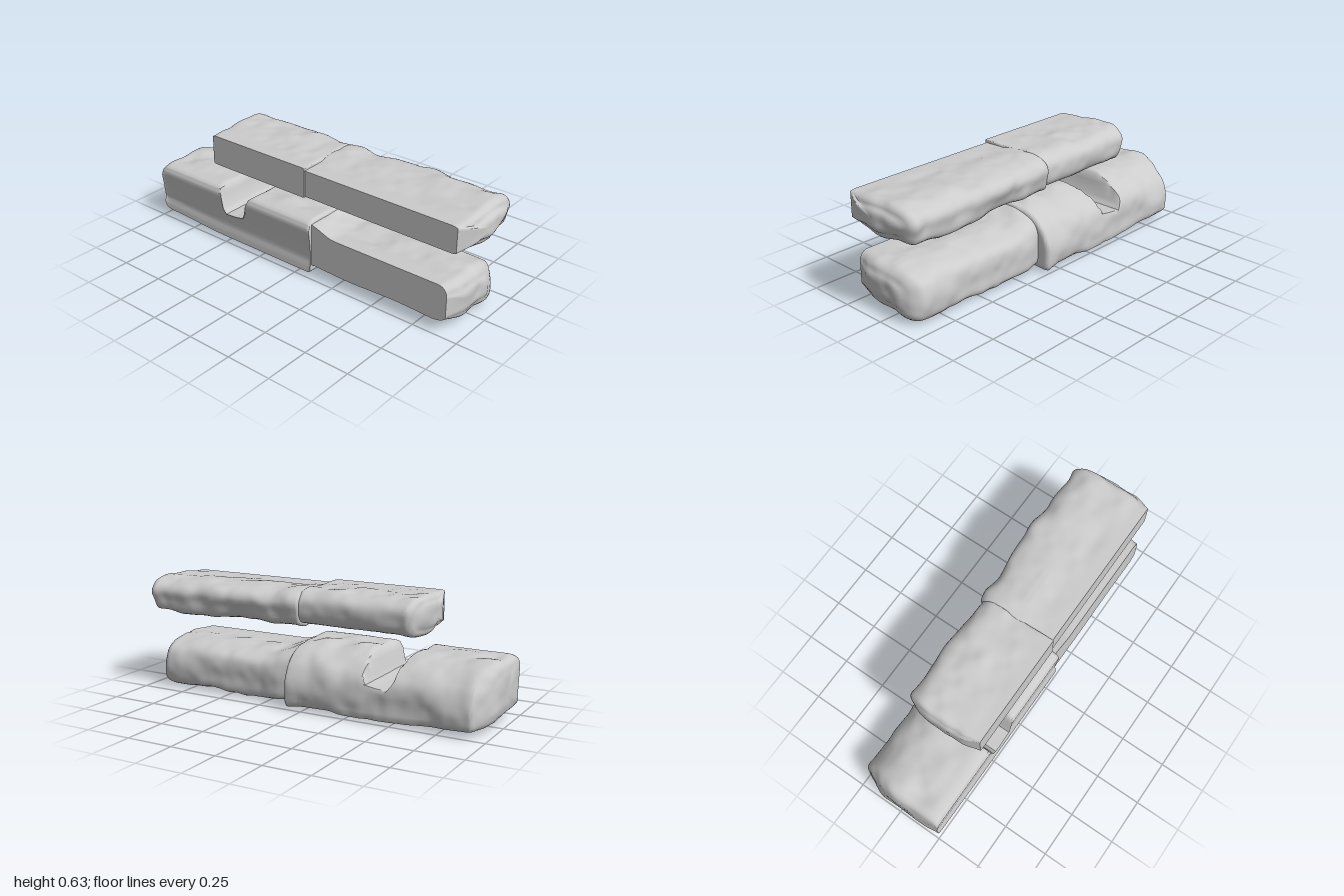
import * as THREE from 'three';
import { toCreasedNormals } from 'three/addons/utils/BufferGeometryUtils.js';

const material = new THREE.MeshStandardMaterial({ color: 0xcccccc });
const { lerp, smoothstep: smooth } = THREE.MathUtils;

// Repeatable value noise, -1..1
function hash(x, y, z) {
  const h = Math.sin(x * 127.1 + y * 311.7 + z * 74.7) * 43758.5453;
  return 2 * (h - Math.floor(h)) - 1;
}
function noise(x, y, z) {
  const [i, j, k] = [x, y, z].map(Math.floor);
  const [u, v, w] = [x - i, y - j, z - k].map((t) => t * t * (3 - 2 * t));
  const edge = (b, c) => lerp(hash(i, j + b, k + c), hash(i + 1, j + b, k + c), u);
  return lerp(lerp(edge(0, 0), edge(1, 0), v), lerp(edge(0, 1), edge(1, 1), v), w);
}

// Lumps of weathered stone
function lumps(x, y, z, seed) {
  return 0.8 * noise(9 * x + seed, 9 * y + 40, 9 * z + 40)
    + 0.3 * noise(19 * x + seed, 19 * y + 80, 19 * z + 80);
}

// Sections [z, y] run from the front bottom edge round the back to the front top edge;
// "face" continues down the dressed front. Rings are lofted along x and closed at both ends.
function stone(name, o) {
  const curve = new THREE.CatmullRomCurve3(
    o.section.map(([z, y]) => new THREE.Vector3(0, y, z)), false, 'centripetal');
  const loop = curve.getSpacedPoints(60).map((p) => [p.z, p.y]);
  const face = [o.section.at(-1), ...(o.face || []), o.section[0]];
  const cuts = o.face ? 4 : 12;
  for (let k = 0; k < face.length - 1; k++) {
    for (let s = 1; s <= cuts; s++) {
      if (k === face.length - 2 && s === cuts) break;
      loop.push([0, 1].map((c) => lerp(face[k][c], face[k + 1][c], s / cuts)));
    }
  }
  const n = loop.length;
  const ys = loop.map((p) => p[1]), zs = loop.map((p) => p[0]);
  const cy = (Math.min(...ys) + Math.max(...ys)) / 2, H = Math.max(...ys) - Math.min(...ys);
  const front = Math.max(...zs), W = front - Math.min(...zs), cz = front - W / 2;

  // Ring list: cap, rounded shoulder, body, rounded shoulder, cap
  const endRings = (end, r, bulge, dir) => {
    const list = [];
    for (let a = 0; a <= 6; a++) {
      const t = a / 6 * Math.PI / 2;
      list.push({ x: end + dir * r * (Math.sin(t) - 1), inset: r * (1 - Math.cos(t)), k: 1 });
    }
    for (const k of [0.88, 0.75, 0.6, 0.45, 0.3, 0.15, 0])
      list.push({ x: end + dir * bulge * (1 - k ** 4), inset: r, k });
    return list;
  };
  const left = endRings(o.x[0], o.round[0], o.bulge[0], -1).reverse();
  const right = endRings(o.x[1], o.round[1], o.bulge[1], 1);
  const x0 = o.x[0] + o.round[0], x1 = o.x[1] - o.round[1];
  const steps = Math.round((x1 - x0) / 0.012);
  const body = [];
  for (let i = 1; i < steps; i++) body.push({ x: lerp(x0, x1, i / steps), inset: 0, k: 1 });
  const rings = [...left, ...body, ...right];

  const pos = [], index = [];
  for (const ring of rings) {
    // How near the ring is to the left (-) or right (+) end
    const toEnd = smooth(ring.x, o.x[1] - 0.12, o.x[1]) * o.open[1]
      - smooth(-ring.x, -o.x[0] - 0.12, -o.x[0]) * o.open[0];
    for (let [z, y] of loop) {
      const inset = ring.inset * lerp(o.frontRound, 1, smooth(front - z, 0, 0.15));
      y = cy + (y - cy) * (1 - 2 * inset / H);
      z = front + (z - front) * (1 - 1.4 * ring.inset / W);
      if (o.shape) [y, z] = o.shape(ring.x, y, z);
      y = cy + (y - cy) * ring.k;
      z = cz + (z - cz) * ring.k;
      const d = lumps(ring.x, y, z, o.seed) * smooth(front - z, 0.02, 0.14) * o.rough;
      const ny = (y - cy) / (H / 2), back = smooth(-z, 0.08, 0.2);
      // Ends lean in towards the back and at the front edge, with lumps of their own
      const lean = o.lean * smooth(-z, 0.06, 0.25) + o.frontLean * (1 - smooth(front - z, 0, 0.1));
      pos.push(ring.x + toEnd * (d - lean), y + d * ny * (ny < 0 ? o.underRough : 1), z - d * back);
    }
  }
  for (let i = 0; i < rings.length - 1; i++) {
    for (let j = 0; j < n; j++) {
      const a = i * n + j, b = i * n + (j + 1) % n;
      index.push(a, b, a + n, b, b + n, a + n);
    }
  }
  const geometry = new THREE.BufferGeometry();
  geometry.setAttribute('position', new THREE.Float32BufferAttribute(pos, 3));
  geometry.setIndex(index);
  const mesh = new THREE.Mesh(toCreasedNormals(geometry, 0.9), material);
  mesh.name = name;
  return mesh;
}

// Height of the lower left stone's top, with the notch cut into it
function notchTop(x) {
  const pts = [[-0.56, 0.34], [-0.53, 0.318], [-0.516, 0.27], [-0.508, 0.21], [-0.485, 0.18], [-0.42, 0.185],
    [-0.355, 0.195], [-0.348, 0.26], [-0.33, 0.31], [-0.295, 0.34]];
  for (let i = 1; i < pts.length; i++) {
    const [xa, ya] = pts[i - 1], [xb, yb] = pts[i];
    if (x >= xa && x <= xb) return lerp(ya, yb, (x - xa) / (xb - xa));
  }
  return 1;
}

export function createModel() {
  const group = new THREE.Group();
  group.name = 'stoneLedges';

  // Upper course
  group.add(stone('upperLeftStone', {
    section: [[0.232, 0.45], [0.1, 0.445], [0, 0.432], [-0.1, 0.435], [-0.165, 0.45], [-0.19, 0.48],
      [-0.202, 0.55], [-0.188, 0.585], [-0.15, 0.612], [-0.1, 0.622], [0, 0.62], [0.08, 0.616], [0.232, 0.614]],
    x: [-0.592, 0.055], round: [0.03, 0.012], bulge: [0.014, 0], open: [1, 0], lean: 0.015, frontLean: 0.014,
    frontRound: 0.25, rough: 0.014, underRough: 1, seed: 1.3,
  }));
  // Deepens towards its right end
  group.add(stone('upperRightStone', {
    section: [[0.225, 0.455], [0.14, 0.45], [0.03, 0.434], [-0.08, 0.428], [-0.17, 0.433], [-0.205, 0.45],
      [-0.22, 0.5], [-0.232, 0.55], [-0.212, 0.583], [-0.14, 0.61], [-0.02, 0.615], [0.1, 0.602], [0.225, 0.598]],
    x: [0.04, 0.972], round: [0.012, 0.04], bulge: [0, 0.022], open: [0, 1], lean: 0.012, frontLean: 0.02,
    frontRound: 0.25, rough: 0.014, underRough: 1, seed: 14.1,
    shape: (x, y, z) => [y, z + 0.025 * smooth(-z, -0.1, 0.2) * (1 - smooth(x, 0.1, 0.55))],
  }));

  // Lower course
  group.add(stone('lowerLeftNotchedStone', {
    section: [[0.243, 0.032], [0.1, 0.028], [-0.08, 0.022], [-0.2, 0.02], [-0.238, 0.026], [-0.248, 0.08],
      [-0.246, 0.17], [-0.224, 0.23], [-0.165, 0.282], [-0.1, 0.315], [-0.04, 0.33], [0.08, 0.33], [0.2, 0.33],
      [0.243, 0.316]],
    face: [[0.254, 0.29], [0.243, 0.2], [0.234, 0.1], [0.241, 0.06]],
    x: [-0.99, 0.1], round: [0.05, 0.02], bulge: [0.008, 0], open: [1, 0], lean: 0.035, frontLean: 0.003,
    frontRound: 0.8, rough: 0.014, underRough: 0.4, seed: 22.2,
    shape: (x, y, z) => [
      Math.min(y + 0.018 * smooth(-x, 0.5, 0.95) * smooth(0.15 - y, 0, 0.1), notchTop(x)), z],
  }));
  // Swells up to meet its neighbour; its wavy underside lifts at the free end
  group.add(stone('lowerRightStone', {
    section: [[0.23, 0.072], [0.15, 0.045], [0.06, 0.018], [-0.05, 0.018], [-0.15, 0.02], [-0.18, 0.035],
      [-0.19, 0.1], [-0.19, 0.17], [-0.174, 0.215], [-0.12, 0.248], [-0.04, 0.266], [0.1, 0.27], [0.23, 0.268]],
    x: [0.07, 0.938], round: [0.012, 0.055], bulge: [0, 0.015], open: [0, 1], lean: 0.015, frontLean: 0.018,
    frontRound: 0.9, rough: 0.013, underRough: 1, seed: 35.4,
    shape: (x, y, z) => [y + smooth(y, 0.12, 0.27) * 0.045 * (1 - smooth(x, 0.08, 0.25))
      + smooth(0.12 - y, 0, 0.1) * (0.009 * Math.sin(11 * x + 1) + 0.02 * smooth(x, 0.84, 0.94)), z],
  }));
  return group;
}
